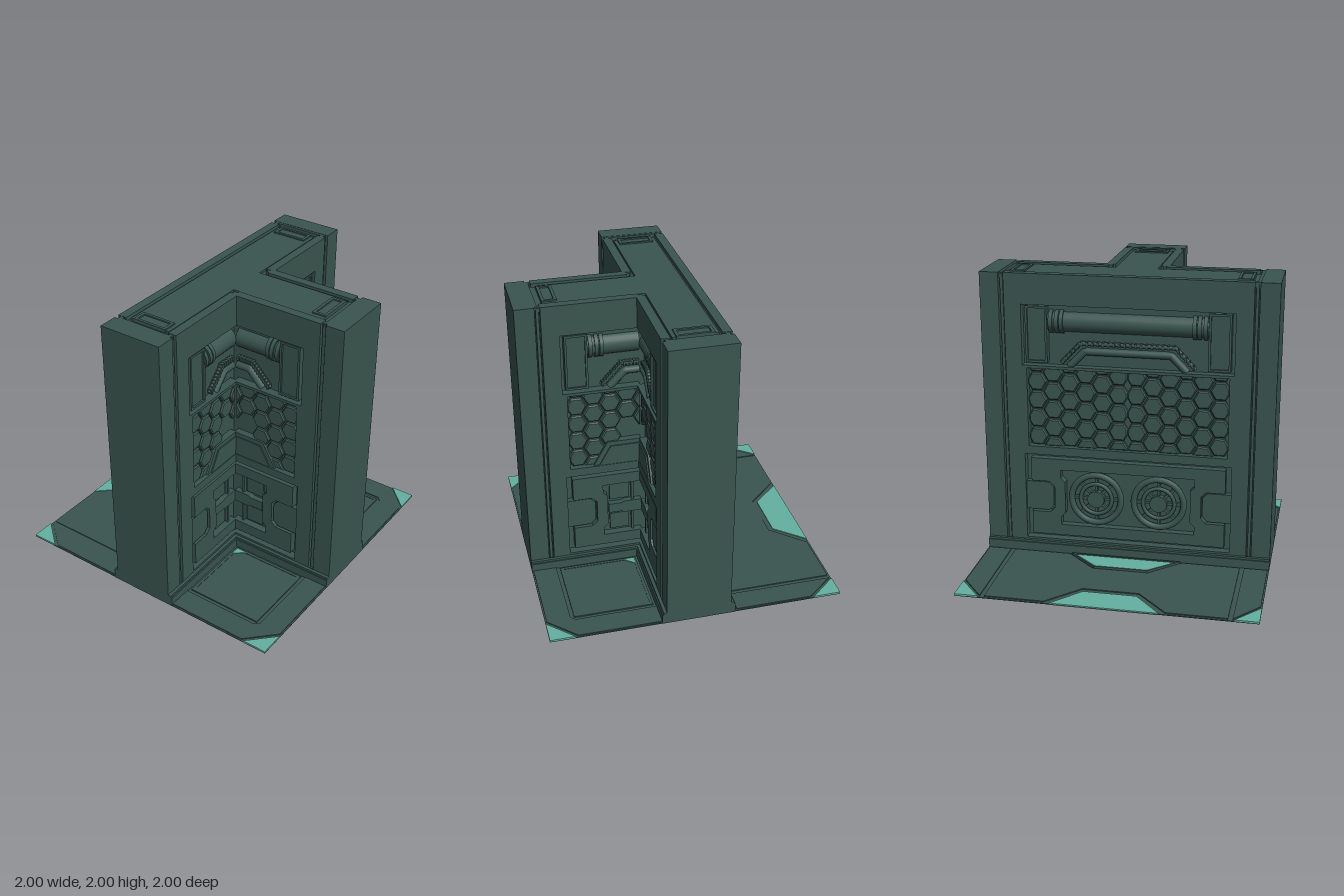
import * as THREE from 'three';

const green = new THREE.MeshStandardMaterial({ color: 0x3a554f, side: THREE.DoubleSide });
green.name = 'dark green metal';
const teal = new THREE.MeshStandardMaterial({ color: 0x64b1a3, side: THREE.DoubleSide });
teal.name = 'teal inlay';

const toPath = (Type, pts) => new Type(pts.map(([x, y]) => new THREE.Vector2(x, y)));
const rect = (a, b, c, d) => [[a, c], [b, c], [b, d], [a, d]];

// Prism from a polygon, running from depth z0 to z1
function prism(pts, z0, z1, holes = [], bevel = 0) {
  const shape = toPath(THREE.Shape, pts);
  shape.holes = holes.map((h) => toPath(THREE.Path, h));
  const geo = new THREE.ExtrudeGeometry(shape, {
    depth: z1 - z0 - bevel, bevelEnabled: bevel > 0,
    bevelSize: bevel, bevelThickness: bevel, bevelOffset: -bevel, bevelSegments: 1,
  });
  return geo.translate(0, 0, z0);
}

function add(parent, name, geo, mat = green) {
  const mesh = new THREE.Mesh(geo, mat);
  mesh.name = name;
  parent.add(mesh);
  return mesh;
}

// Horizontal slab from [x, z] points
function slab(parent, name, pts, y0, y1, holes = [], mat = green) {
  const flip = (p) => p.map(([x, z]) => [x, -z]);
  return add(parent, name, prism(flip(pts), y0, y1, holes.map(flip)).rotateX(-Math.PI / 2), mat);
}

// T-shaped plan with half thickness w and reach e
const tee = (w, e) => [[-w, -e], [w, -e], [w, -w], [e, -w], [e, w], [w, w], [w, e], [-w, e]];

// Trim a convex polygon to a rectangle
function clip(poly, x0, x1, y0, y1) {
  for (const [axis, sign, limit] of [[0, 1, x0], [0, -1, -x1], [1, 1, y0], [1, -1, -y1]]) {
    const out = [];
    poly.forEach((p, i) => {
      const q = poly[(i + 1) % poly.length];
      const a = p[axis] * sign - limit, b = q[axis] * sign - limit;
      if (a >= 0) out.push(p);
      if (a * b < 0) out.push([0, 1].map((k) => p[k] + (q[k] - p[k]) * a / (a - b)));
    });
    poly = out;
  }
  return poly;
}

const area = (p) => Math.abs(p.reduce((s, [x, y], i) => {
  const [u, v] = p[(i + 1) % p.length];
  return s + x * v - u * y;
}, 0)) / 2;

// Half of one decorated wall face; s mirrors it, u0 is where it starts
function wallHalf(parent, s, u0, outer) {
  const m = (pts) => pts.map(([u, y]) => [s * u, y]);
  const part = (name, pts, z0, z1, holes = [], bevel = 0) =>
    add(parent, name, prism(m(pts), z0, z1, holes.map(m), bevel));

  // Main skin with three recesses, and the seam beside the pillar
  part('wallSkin', [[u0, 0], [.835, 0], [.835, 2], [u0, 2], [u0, 1.79], [.72, 1.79], [.72, 1.37],
    [u0, 1.37], [u0, 1.35], [.69, 1.35], [.69, .79], [u0, .79], [u0, .73], [.72, .73], [.72, .1], [u0, .1]], .16, .22);
  part('seamStrip', rect(.842, .862, 0, 1.99), .16, .207);
  part('skirting', rect(u0, 1, 0, .07), .22, .25);
  part('skirtingLip', rect(u0, 1, .07, .085), .22, .242);

  // Upper recess: end block, pipe with collars
  part('endBlock', rect(.55, .69, 1.4, 1.77), .16, .2);
  part('endBlockFrame', rect(.545, .695, 1.39, 1.78), .16, .213, [rect(.56, .68, 1.405, 1.765)]);
  const pipe = (name, a, b, r) => add(parent, name,
    new THREE.CylinderGeometry(r, r, b - a, 24).rotateZ(Math.PI / 2).translate(s * (a + b) / 2, 1.67, .13));
  pipe('pipe', u0, .55, .075);
  for (const u of [.45, .482, .523]) pipe('pipeCollar', u - .013, u + .013, .087);

  // Arched conduit with ribs
  const arch = (dy) => {
    const path = new THREE.CurvePath();
    const pts = [[u0, 1.505 + dy], [.31 + dy / 2, 1.505 + dy], [.43 + dy, 1.38 + dy * .4]]
      .map(([u, y]) => new THREE.Vector3(s * u, y, .175));
    path.add(new THREE.LineCurve3(pts[0], pts[1]));
    path.add(new THREE.LineCurve3(pts[1], pts[2]));
    return path;
  };
  add(parent, 'conduit', new THREE.TubeGeometry(arch(-.03), 24, .026, 10));
  const upper = arch(.025);
  add(parent, 'ribbedConduit', new THREE.TubeGeometry(upper, 24, .014, 8));
  for (let i = 0; i < 14; i++) {
    const p = upper.getPointAt((i + .5) / 14);
    add(parent, 'rib', new THREE.BoxGeometry(.015, .03, .04)).position.copy(p);
  }

  // Honeycomb tiles
  const R = .076, h = R * Math.sqrt(3);
  for (let c = -1; c < 8; c++) for (let r = -1; r < 6; r++) {
    const cu = .06 + c * 1.5 * R, cy = .79 + (r + (c & 1 ? .5 : 0)) * h;
    if (!outer && cu < .37 && cy < 1.06) continue;
    const hex = Array.from({ length: 6 }, (_, i) =>
      [cu + (R - .006) * Math.cos(i * Math.PI / 3), cy + (R - .006) * Math.sin(i * Math.PI / 3)]);
    const tile = clip(hex, u0, .69, .79, 1.35);
    if (tile.length > 2 && area(tile) > .0015) part('honeycombTile', tile, .165, .195, [], .008);
  }
  // Sloped plate below the honeycomb
  if (!outer) {
    part('slopedPlate', [[u0, .77], [.54, .77], [.43, .96], [u0, .96]], .16, .208);
    part('slopedPlateRaise', [[u0, .79], [.49, .79], [.41, .93], [u0, .93]], .2, .216);
  }

  // Lower recess: notched frame round a window
  part('lowerFrame', [[u0, .13], [.68, .13], [.68, .3], [.55, .3], [.515, .335], [.515, .495], [.55, .53],
    [.68, .53], [.68, .7], [u0, .7], [u0, .62], [.47, .62], [.47, .56], [.44, .53], [.44, .3], [.47, .27],
    [.47, .21], [u0, .21]], .16, .212);
  part('notchPlate', [[.56, .31], [.72, .31], [.72, .52], [.56, .52], [.525, .485], [.525, .345]], .16, .2);
  if (outer) {
    // Round fan
    const ring = (name, r, t) => add(parent, name,
      new THREE.TorusGeometry(r, t, 10, 32).translate(s * .22, .42, .2));
    ring('fanRim', .175, .022);
    ring('fanInnerRing', .11, .014);
    const disc = (name, r, z) => add(parent, name,
      new THREE.CylinderGeometry(r, r, .04, 28).rotateX(Math.PI / 2).translate(s * .22, .42, z));
    disc('fanBack', .17, .155);
    disc('fanHub', .06, .2);
    for (let i = 0; i < 8; i++) {
      const blade = add(parent, 'fanBlade', new THREE.BoxGeometry(.11, .02, .03).translate(.11, 0, 0));
      blade.position.set(s * .22, .42, .185);
      blade.rotation.z = i * Math.PI / 4;
    }
  } else {
    part('windowBar', [[u0, .37], [.32, .37], [.34, .38], [.43, .38], [.43, .45], [.34, .45], [.32, .46], [u0, .46]], .16, .2);
    part('windowPost', rect(.25, .268, .21, .62), .16, .185);
    part('windowPanel', rect(.285, .42, .23, .355), .16, .175);
    part('windowPanel', rect(.285, .42, .475, .6), .16, .175);
  }
}

export function createModel() {
  const model = new THREE.Group();
  model.name = 'wallJunction';

  // Four wall faces: [name, turn, halves, start, outer style]
  for (const [name, turn, halves, u0, outer] of [
    ['innerFace', Math.PI / 2, [1, -1], .2, false], ['outerFace', -Math.PI / 2, [1, -1], 0, true],
    ['branchFrontFace', 0, [1], .2, false], ['branchBackFace', Math.PI, [-1], .2, false]]) {
    const face = new THREE.Group();
    face.name = name;
    face.rotation.y = turn;
    halves.forEach((s) => wallHalf(face, s, u0, outer));
    model.add(face);
  }

  // Hollow core, open at the bottom
  const core = tee(.16, .9);
  core.forEach(([x, z], i) => {
    const [x2, z2] = core[(i + 1) % core.length];
    const plane = add(model, 'wallCore', new THREE.PlaneGeometry(Math.hypot(x2 - x, z2 - z), 1.97));
    plane.position.set((x + x2) / 2, .985, (z + z2) / 2);
    plane.rotation.y = Math.abs(x2 - x) < 1e-6 ? Math.PI / 2 : 0;
  });

  // End pillars
  for (const s of [-1, 1])
    add(model, 'endPillar', new THREE.BoxGeometry(.44, 2, .13)).position.set(0, 1, s * .935);
  add(model, 'endPillar', new THREE.BoxGeometry(.13, 2, .44)).position.set(.935, 1, 0);

  // Top cap with a T-shaped groove and end sockets
  slab(model, 'capRim', tee(.2, .99), 1.96, 1.998, [tee(.175, .85)]);
  slab(model, 'capGroove', tee(.18, .86), 1.96, 1.975);
  slab(model, 'capCentre', tee(.145, .81), 1.96, 1.99);
  for (const s of [-1, 1])
    slab(model, 'capSocket', rect(-.12, .12, s * .765 - .05, s * .765 + .05), 1.96, 1.999, [rect(-.1, .1, s * .765 - .032, s * .765 + .032)]);
  slab(model, 'capSocket', rect(.71, .81, -.12, .12), 1.96, 1.999, [rect(.73, .79, -.1, .1)]);

  // Wide floor on the outer side
  slab(model, 'floorBase', rect(-1, -.24, -1, 1), .002, .008);
  slab(model, 'floorPlate', [[-.985, -.8], [-.265, -.8], [-.265, -.4], [-.46, -.19], [-.46, .19], [-.265, .4],
    [-.265, .8], [-.985, .8], [-.985, .4], [-.765, .19], [-.765, -.19], [-.985, -.4]], .006, .015);
  const outerTrap = [[-1, -.36], [-.8, -.18], [-.8, .18], [-1, .36]];
  const innerTrap = [[-.285, -.35], [-.435, -.18], [-.435, .18], [-.285, .35]];
  slab(model, 'outerInlay', outerTrap, 0, .013, [], teal);
  slab(model, 'innerInlay', innerTrap, 0, .022, [], teal);
  slab(model, 'innerInlayFrame', [[-.27, -.385], [-.45, -.186], [-.45, .186], [-.27, .385]], .003, .026, [innerTrap]);
  for (const s of [-1, 1]) {
    slab(model, 'floorBorder', [[-.985, s * .83], [-.265, s * .83], [-.265, s * .99], [-.79, s * .99], [-.985, s * .82 + s * .01]], .006, .015);
    slab(model, 'cornerInlay', [[-1, s * .84], [-.81, s * 1], [-1, s * 1]], .006, .017, [], teal);

    // Square floors either side of the branch
    const z = (pts) => pts.map(([x, v]) => [x, s * v]);
    slab(model, 'squareFloorBase', z(rect(.24, 1, .24, 1)), .002, .008);
    slab(model, 'squareFloorPlate', z(rect(.27, .8, .27, .8)), .006, .014);
    slab(model, 'squareFloorRim', z(rect(.265, .805, .265, .805)), .006, .017, [z(rect(.285, .785, .285, .785))]);
    slab(model, 'squareFloorBorder', z([[.25, .83], [.8, .83], [.83, .8], [.83, .25], [.99, .25], [.99, .81],
      [.81, .99], [.25, .99]]), .006, .015);
    slab(model, 'cornerInlay', z([[1, .83], [1, 1], [.83, 1]]), .006, .017, [], teal);
    slab(model, 'smallInlay', z([[.28, .28], [.35, .28], [.28, .34]]), .012, .019, [], teal);
  }
  return model;
}
